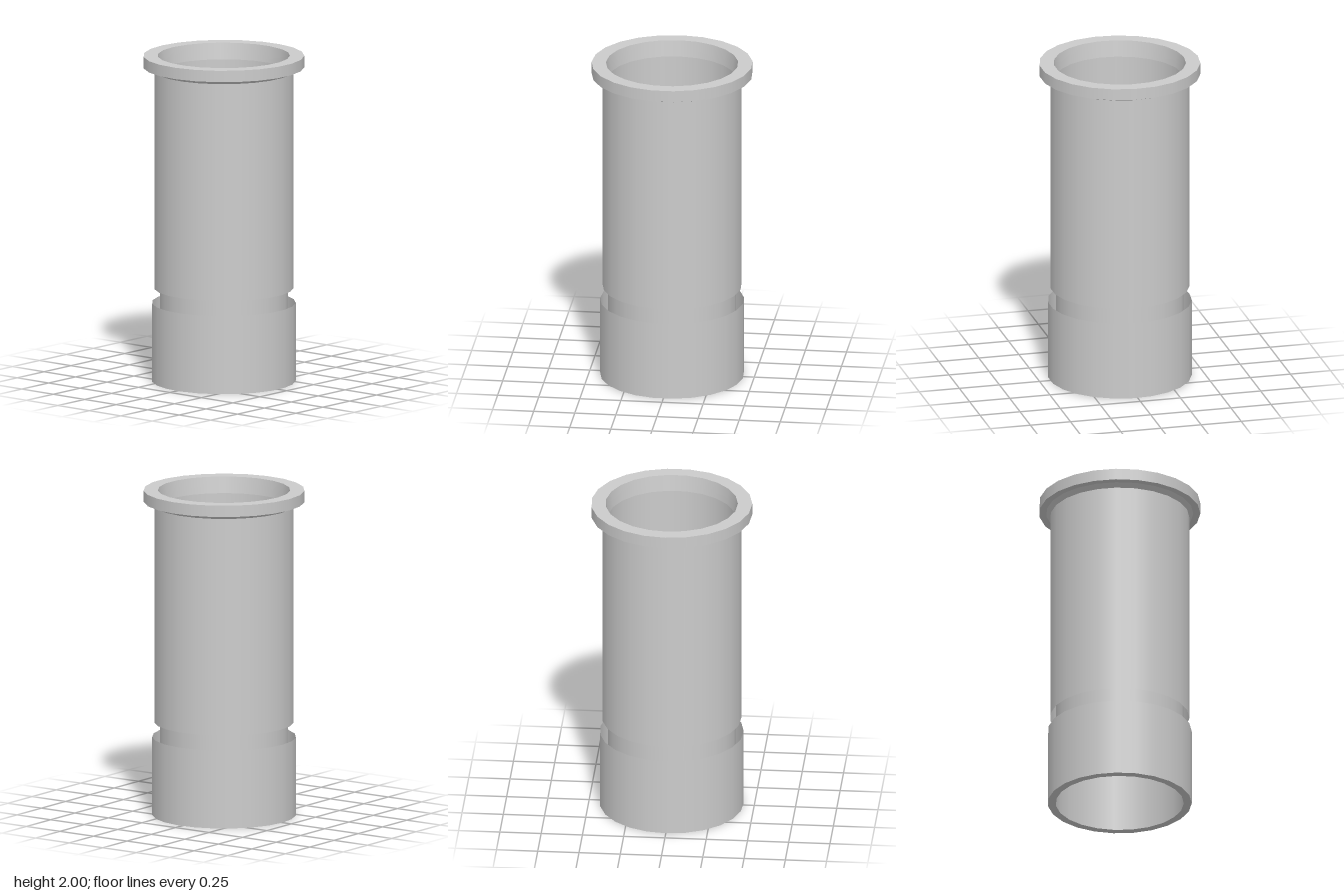
import * as THREE from 'three';
import { mergeGeometries } from 'three/addons/utils/BufferGeometryUtils.js';

const SIDES = 23;
const material = new THREE.MeshStandardMaterial({ color: 0xcccccc, side: THREE.DoubleSide });

// Turns a [radius, y] profile; each segment is its own strip, so its edges stay sharp.
function turned(name, profile) {
  const strips = [];
  for (let i = 0; i < profile.length - 1; i++) {
    const points = [profile[i], profile[i + 1]].map(([r, y]) => new THREE.Vector2(r, y));
    strips.push(new THREE.LatheGeometry(points, SIDES, Math.PI));
  }
  const mesh = new THREE.Mesh(mergeGeometries(strips), material);
  mesh.name = name;
  return mesh;
}

export function createModel() {
  const group = new THREE.Group();
  group.name = 'flangedSleeve';

  // Lower collar, closed to the liner by the bottom rim
  group.add(turned('lowerCollar', [[0.387, 0], [0.435, 0], [0.435, 0.48]]));

  // Main barrel above the groove
  group.add(turned('barrel', [[0.421, 0.57], [0.421, 1.905]]));

  // Top flange with a chamfer underneath and a flat upper rim
  group.add(turned('topFlange', [
    [0.421, 1.905], [0.445, 1.93], [0.487, 1.93], [0.487, 2], [0.4, 2],
  ]));

  // Thin inner liner, slightly flared at the mouth and visible in the groove
  group.add(turned('innerLiner', [[0.4, 2], [0.387, 1.9], [0.387, 0]]));

  return group;
}
